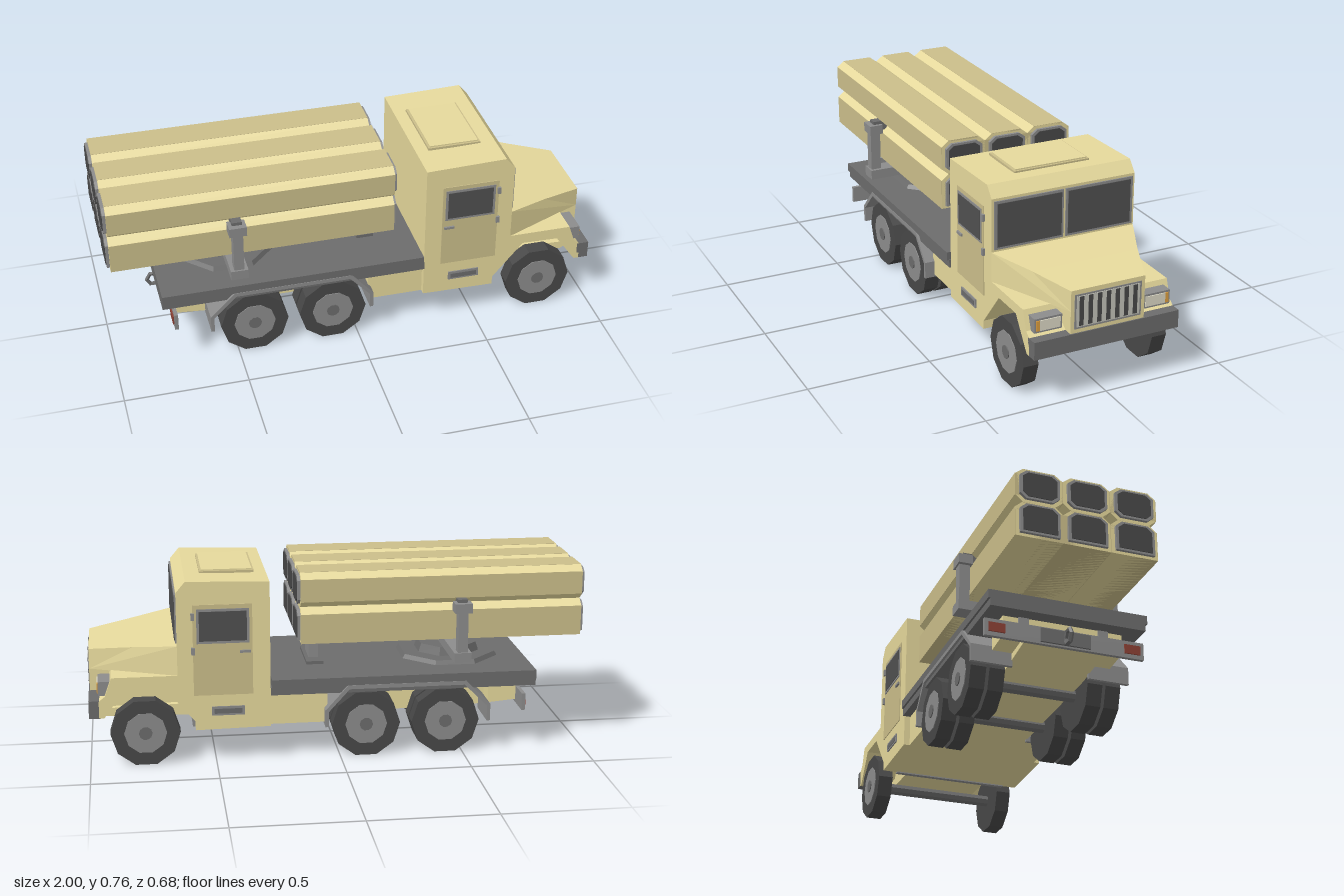
import * as THREE from 'three';

const mat = (color, side = THREE.FrontSide) =>
  new THREE.MeshStandardMaterial({ color, flatShading: true, side });
const tan = mat(0xe6d99c), tanDark = mat(0xcbbe8a), grey = mat(0x8c8c8c), steel = mat(0x6c6c6c),
  rubber = mat(0x484848), glass = mat(0x505050), light = mat(0xc6c6bc), lens = mat(0xdfdcc8),
  amber = mat(0xe0a040), red = mat(0x8c4034), tanSheet = mat(0xe6d99c, THREE.DoubleSide);

export function createModel() {
  const root = new THREE.Group();
  root.name = 'launcherTruck';

  const add = (name, geo, m, parent = root) => {
    const mesh = new THREE.Mesh(geo, m);
    mesh.name = name;
    parent.add(mesh);
    return mesh;
  };
  // box from its limits on each axis
  const box = (name, m, x0, x1, y0, y1, z0, z1, parent) => {
    const mesh = add(name, new THREE.BoxGeometry(x1 - x0, y1 - y0, Math.abs(z1 - z0)), m, parent);
    mesh.position.set((x0 + x1) / 2, (y0 + y1) / 2, (z0 + z1) / 2);
    return mesh;
  };
  // side profile (x, y) extruded from z0 to z1
  const prism = (name, m, pts, z0, z1, parent) => {
    const shape = new THREE.Shape(pts.map(p => new THREE.Vector2(...p)));
    const geo = new THREE.ExtrudeGeometry(shape, { depth: z1 - z0, bevelEnabled: false });
    return add(name, geo.translate(0, 0, z0), m, parent);
  };
  // cross-section (z, y) extruded from x0 to x1
  const bar = (name, m, pts, x0, x1, parent) => {
    const shape = new THREE.Shape(pts.map(p => new THREE.Vector2(...p)));
    const geo = new THREE.ExtrudeGeometry(shape, { depth: x1 - x0, bevelEnabled: false });
    return add(name, geo.translate(0, 0, x0).rotateY(Math.PI / 2), m, parent);
  };
  // limits on the +z side, repeated on the -z side
  const pair = (name, m, x0, x1, y0, y1, z0, z1) => {
    box(name, m, x0, x1, y0, y1, z0, z1);
    box(name, m, x0, x1, y0, y1, -z1, -z0);
  };

  // cab
  prism('cab', tan, [[.28, .14], [.58, .135], [.58, .33], [.648, .365], [.648, .70], [.61, .745], [.28, .735]], -.305, .305);
  box('roofHatchRim', tanDark, .33, .548, .74, .75, -.16, .16);
  box('roofHatch', tan, .338, .54, .74, .755, -.152, .152);
  box('firewall', grey, .57, .59, .13, .33, -.245, .245);
  pair('windshieldFrame', grey, .64, .654, .495, .69, .005, .295);
  pair('windshield', glass, .64, .657, .505, .68, .014, .284);

  // doors
  pair('door', tanDark, .35, .585, .28, .65, .3, .308);
  pair('doorWindowFrame', grey, .362, .57, .493, .633, .3, .311);
  pair('doorWindow', glass, .372, .56, .503, .623, .3, .313);
  pair('doorHandle', grey, .358, .4, .453, .463, .3, .316);
  for (const y of [.45, .59]) pair('doorHinge', grey, .578, .592, y, y + .028, .3, .316);
  pair('stepPlate', grey, .385, .515, .195, .232, .3, .31);
  pair('stepSlot', steel, .395, .505, .203, .223, .3, .312);

  // tapering bonnet
  const A = s => [.648, .485, .305 * s], B = s => [.82, .466, .225 * s], C = s => [.995, .445, .155 * s],
    D = s => [.995, .363, .155 * s], E = s => [.648, .363, .305 * s];
  const tris = [[A(1), B(1), B(-1)], [A(1), B(-1), A(-1)], [B(1), C(1), C(-1)], [B(1), C(-1), B(-1)],
    [C(1), D(1), D(-1)], [C(1), D(-1), C(-1)]];
  for (const s of [1, -1]) {
    const side = [[A(s), E(s), D(s)], [A(s), D(s), B(s)], [B(s), D(s), C(s)]];
    tris.push(...side.map(t => (s > 0 ? t : t.slice().reverse())));
  }
  const hood = new THREE.BufferGeometry();
  hood.setAttribute('position', new THREE.Float32BufferAttribute(tris.flat(2), 3));
  hood.computeVertexNormals();
  add('bonnet', hood, tanSheet);
  box('nose', tan, .57, .995, .2, .364, -.155, .155);
  prism('engineBelly', tan, [[.57, .16], [.93, .168], [.985, .2], [.57, .21]], -.18, .18);

  // front fenders
  const fender = [[.58, .17], [.71, .325], [.85, .325], [.94, .2], [.96, .2], [.96, .27], [.935, .29], [.908, .365], [.58, .365]];
  prism('frontFender', tan, fender, .155, .305);
  prism('frontFender', tan, fender, -.305, -.155);

  // grille
  box('grilleFrame', grey, .98, .997, .288, .427, -.14, .14);
  box('grillePanel', light, .98, .999, .296, .42, -.132, .132);
  for (let i = -3; i <= 3; i++) {
    const z = i * .0375;
    box('grilleSlot', rubber, .98, 1, .3, .418, z - .009, z + .009);
  }

  // bumper and headlamps
  box('frontBumper', steel, .95, 1, .2, .272, -.305, .305);
  pair('headlampFrame', grey, .9, .962, .288, .345, .172, .286);
  pair('headlampLens', lens, .95, .966, .296, .337, .18, .265);
  pair('turnSignal', amber, .95, .966, .296, .337, .265, .279);

  // chassis and deck
  box('chassisFront', tan, .05, .285, .14, .28, -.28, .28);
  prism('chassisRear', tan, [[-.74, .17], [-.55, .145], [.06, .14], [.06, .28], [-.74, .28]], -.16, .16);
  prism('chassisTail', tan, [[-.735, .19], [-.62, .18], [-.62, .28], [-.735, .28]], -.24, .24);
  box('deckFrame', steel, -.8, .28, .27, .302, -.312, .312);
  box('deck', steel, -.8, .275, .3, .335, -.32, .32);

  // rear mudguards
  const guard = [[-.612, .13], [-.612, .2], [-.51, .302], [-.03, .302], [.062, .2], [.062, .13],
    [.048, .13], [.048, .194], [-.036, .286], [-.504, .286], [-.598, .194], [-.598, .13]].reverse();
  prism('rearMudguard', grey, guard, .155, .322);
  prism('rearMudguard', grey, guard, -.322, -.155);

  // wheels
  const R = .139;
  const wheel = (x, z, width, s, name) => {
    const g = new THREE.Group();
    g.name = name;
    g.position.set(x, .1325, z * s);
    const disc = (n, m, r, w, dz) => {
      const geo = new THREE.CylinderGeometry(r, r, w, 10).rotateY(Math.PI / 10);
      add(n, geo.rotateX(Math.PI / 2).rotateZ(Math.PI), m, g).position.z = dz * s;
    };
    disc('tyre', rubber, R, width, 0);
    disc('rim', grey, .085, width, .003);
    disc('hubCap', steel, .027, width, .007);
    root.add(g);
  };
  for (const s of [1, -1]) {
    wheel(.78, .275, .062, s, 'frontWheel');
    for (const x of [-.43, -.105]) {
      wheel(x, .275, .062, s, 'rearOuterWheel');
      wheel(x, .2, .062, s, 'rearInnerWheel');
    }
  }
  const axle = x => {
    const geo = new THREE.CylinderGeometry(.025, .025, .5, 8).rotateX(Math.PI / 2);
    add('axle', geo, steel).position.set(x, .1325, 0);
  };
  [.78, -.105, -.43].forEach(axle);

  // rear bar, lamps and tow hook
  box('rearBar', grey, -.757, -.742, .168, .238, -.32, .32);
  box('rearBarCentre', steel, -.765, -.74, .175, .231, -.1, .1);
  pair('rearBarBracket', grey, -.745, -.71, .2, .28, .14, .18);
  pair('tailLamp', red, -.762, -.75, .185, .222, .24, .305);
  const hook = new THREE.TorusGeometry(.029, .009, 5, 6);
  add('towHook', hook, steel).position.set(-.79, .2, 0);

  // turntable and launcher cradle
  const plate = (name, r, y0, y1) => {
    const geo = new THREE.CylinderGeometry(r, r + .012, y1 - y0, 8).rotateY(Math.PI / 8);
    add(name, geo, steel).position.set(-.49, (y0 + y1) / 2, 0);
  };
  plate('turntableBase', .205, .333, .352);
  plate('turntable', .125, .352, .386);
  box('cradleBeam', grey, -.525, -.455, .385, .425, -.342, .342);
  pair('cradlePost', grey, -.51, -.47, .42, .6, .292, .335);
  pair('cradleHead', grey, -.525, -.455, .588, .627, .285, .342);
  box('cradleAxle', steel, -.51, -.47, .6, .64, -.32, .32);

  // front launcher rest
  box('restFoot', steel, .045, .115, .333, .348, -.12, .12);
  box('restPost', grey, .06, .1, .345, .44, -.06, .06);
  box('restHead', grey, .045, .115, .43, .472, -.15, .15);

  // launch containers, three wide and two high
  const lower = [[-.094, .47], [.094, .47], [.094, .59], [.064, .615], [-.064, .615], [-.094, .59]];
  const upper = [[-.064, .615], [.064, .615], [.094, .64], [.094, .732], [.064, .755], [-.064, .755], [-.094, .732], [-.094, .64]];
  [lower, upper].forEach((section, row) => {
    const y0 = row ? .64 : .47, y1 = row ? .732 : .59, top = row ? .755 : .615;
    const cy = row ? .683 : .542;
    const scaled = k => section.map(([z, y]) => [z * k, cy + (y - cy) * k]);
    for (const z of [-.19, 0, .19]) {
      const g = new THREE.Group();
      g.name = row ? 'upperContainer' : 'lowerContainer';
      g.position.z = z;
      root.add(g);
      bar('containerBody', tan, section, -.985, .155, g);
      box('containerSides', tanDark, -.985, .155, y0, y1, -.095, .095, g);
      box('containerTop', tanDark, -.985, .155, top - .005, top + .001, -.064, .064, g);
      bar('containerEndFrame', grey, scaled(.84), -.997, .167, g);
      bar('containerEndCover', rubber, scaled(.72), -1, .17, g);
    }
  });

  return root;
}
